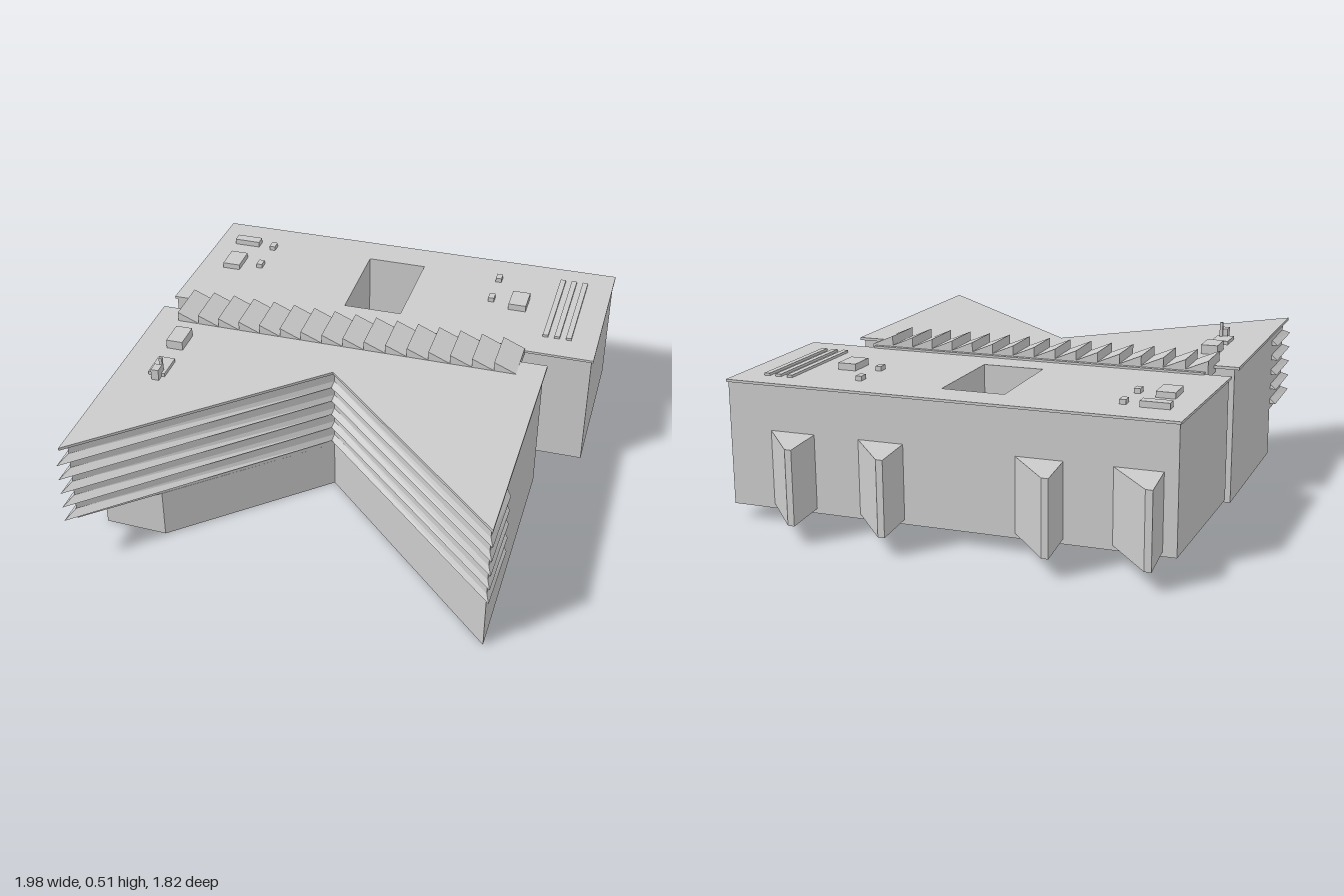
import * as THREE from 'three';

const TURN = 0.4115; // plan rotation of the whole building grid
const mat = new THREE.MeshStandardMaterial({ color: 0xcccccc, flatShading: true, side: THREE.DoubleSide });

export function createModel() {
  const model = new THREE.Group();

  const add = (name, geometry) => {
    const m = new THREE.Mesh(geometry, mat);
    m.name = name;
    model.add(m);
    return m;
  };

  // Vertical prism from a plan outline of [x, z] points, with optional holes
  const prism = (name, outline, y0, y1, holes = []) => {
    const toPts = (pts) => pts.map(([x, z]) => new THREE.Vector2(x, -z));
    const shape = new THREE.Shape(toPts(outline));
    holes.forEach((h) => shape.holes.push(new THREE.Path(toPts(h))));
    const g = new THREE.ExtrudeGeometry(shape, { depth: y1 - y0, bevelEnabled: false });
    g.rotateX(-Math.PI / 2).translate(0, y0, 0);
    return add(name, g);
  };

  // Box aligned to the building grid: plan centre, size along and across, heights
  const box = (name, x, z, w, d, y0, y1) => {
    const m = add(name, new THREE.BoxGeometry(w, y1 - y0, d));
    m.position.set(x, (y0 + y1) / 2, z);
    m.rotation.y = TURN;
    return m;
  };

  // East block with a courtyard cut right through
  const court = [[0.19, -0.18], [0.495, -0.315], [0.575, -0.13], [0.27, 0]];
  prism('eastBlock', [[-0.134, -0.664], [0.372, -0.873], [0.943, 0.432], [0.443, 0.652]], 0.045, 0.437, [court]);
  prism('eastRoof', [[-0.14, -0.67], [0.375, -0.88], [0.95, 0.435], [0.44, 0.66]], 0.437, 0.445, [court]);

  // Tapered bays on the east wall
  const wallX = (z) => 0.375 + 0.437 * (z + 0.88) - 0.005;
  for (const z of [-0.915, -0.643, -0.183, 0.087]) {
    const tip = wallX(z) + 0.19;
    prism('eastBay', [
      [wallX(z + 0.08), z + 0.08], [tip - 0.008, z],
      [tip, z + 0.02], [wallX(z + 0.215), z + 0.215],
    ], 0.06, 0.295);
  }

  // Forked west wing; the lower storey stops short of the north tip
  prism('westWingBase', [[-0.775, -0.38], [-0.23, -0.615], [0.292, 0.565], [-0.455, 0.887], [-0.15, 0.06], [-0.7, -0.19]], 0, 0.165);
  prism('westWingUpper', [[-0.95, -0.305], [-0.23, -0.615], [0.292, 0.565], [-0.455, 0.887], [-0.15, 0.06]], 0.165, 0.446);
  prism('westRoof', [[-0.985, -0.305], [-0.22, -0.64], [0.31, 0.568], [-0.467, 0.9], [-0.158, 0.062]], 0.446, 0.455);

  // Sun louvers wrapping both tips and the notch: wedge-section blades
  const outer = [[-0.78, -0.402], [-1, -0.305], [-0.165, 0.06], [-0.47, 0.905], [-0.25, 0.815]];
  const inner = [[-0.775, -0.38], [-0.95, -0.305], [-0.15, 0.06], [-0.455, 0.887], [-0.245, 0.796]];
  const blade = (y) => {
    const rings = outer.map(([x, z], i) => [
      [x, y, z], [inner[i][0], y, inner[i][1]], [inner[i][0], y + 0.018, inner[i][1]],
    ]);
    const pos = [];
    const tri = (...pts) => pts.forEach((p) => pos.push(...p));
    for (let i = 0; i < rings.length - 1; i++) {
      for (let k = 0; k < 3; k++) {
        const a = rings[i][k], b = rings[i][(k + 1) % 3];
        const c = rings[i + 1][(k + 1) % 3], d = rings[i + 1][k];
        tri(a, b, c, a, c, d);
      }
    }
    tri(...[...rings[0]].reverse());
    tri(...rings[rings.length - 1]);
    const g = new THREE.BufferGeometry();
    g.setAttribute('position', new THREE.Float32BufferAttribute(pos, 3));
    g.computeVertexNormals();
    return g;
  };
  for (let i = 0; i < 5; i++) add('louver', blade(0.185 + i * 0.053));

  // Corridor joining the two buildings, under a saw-tooth skylight
  box('linkCorridor', 0.075, -0.055, 0.12, 1.13, 0.045, 0.452);
  const teeth = 16, length = 1.15, pitch = length / teeth, width = 0.155;
  const saw = new THREE.Shape();
  saw.moveTo(-length / 2, 0.43);
  for (let i = 0; i < teeth; i++) {
    const v = -length / 2 + i * pitch;
    saw.lineTo(v, 0.487);
    saw.lineTo(v + pitch, 0.456);
  }
  saw.lineTo(length / 2, 0.43);
  const sawGeo = new THREE.ExtrudeGeometry(saw, { depth: width, bevelEnabled: false });
  sawGeo.translate(0, 0, -width / 2);
  const skylight = add('sawToothSkylight', sawGeo);
  skylight.position.set(0.046, 0, -0.041);
  skylight.rotation.y = TURN - Math.PI / 2;

  // Rooftop plant on the east block
  box('roofUnit', 0.165, -0.67, 0.09, 0.06, 0.44, 0.464);
  box('roofUnit', 0.3, -0.73, 0.035, 0.09, 0.44, 0.464);
  box('roofUnit', 0.58, 0.275, 0.09, 0.06, 0.44, 0.467);
  for (const [x, z] of [[0.205, -0.585], [0.33, -0.635], [0.545, 0.185], [0.67, 0.13]]) {
    box('roofVent', x, z, 0.032, 0.02, 0.44, 0.46);
  }
  for (let i = 0; i < 3; i++) {
    box('roofSlat', 0.633 + i * 0.0155, 0.385 + i * 0.0355, 0.372, 0.018, 0.44, 0.453);
  }

  // Rooftop plant and mast on the west wing
  box('roofUnit', -0.49, -0.375, 0.09, 0.055, 0.45, 0.467);
  box('roofUnit', -0.345, -0.44, 0.09, 0.055, 0.45, 0.485);
  box('roofVent', -0.535, -0.35, 0.035, 0.025, 0.45, 0.492);
  box('mast', -0.512, -0.352, 0.01, 0.01, 0.45, 0.515);

  return model;
}
